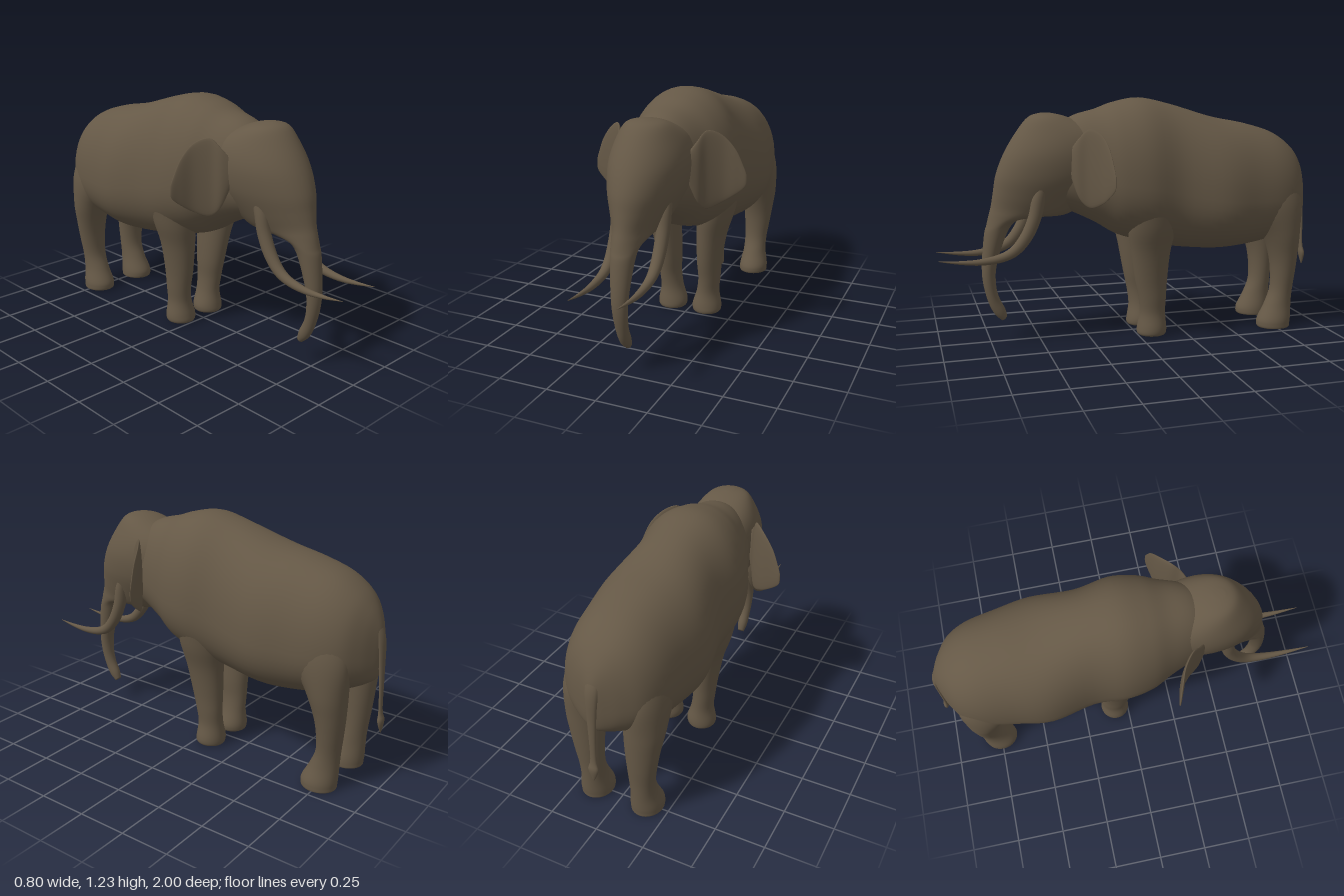
import * as THREE from 'three';

const hide = new THREE.MeshStandardMaterial({ color: 0x655846 });
hide.name = 'brown hide';

// Smooth interpolation of rows of numbers
function refine(rows, steps = 5) {
  const out = [];
  const n = rows.length;
  for (let i = 0; i < n - 1; i++) {
    const [a, b, c, d] = [rows[Math.max(i - 1, 0)], rows[i], rows[i + 1], rows[Math.min(i + 2, n - 1)]];
    for (let k = 0; k < steps; k++) {
      const t = k / steps;
      out.push(b.map((v, j) => v + 0.5 * t * (c[j] - a[j] +
        t * (2 * a[j] - 5 * v + 4 * c[j] - d[j] + t * (3 * (v - c[j]) + d[j] - a[j])))));
    }
  }
  out.push(rows[n - 1]);
  return out;
}

// Closed skin through cross-sections; place(row, cos, sin) gives one point of a ring
function loft(name, rows, place, seg = 32) {
  const rings = refine(rows);
  const pos = [];
  const idx = [];
  for (const row of rings) {
    for (let i = 0; i < seg; i++) {
      const a = (i / seg) * Math.PI * 2;
      pos.push(...place(row, Math.cos(a), Math.sin(a)));
    }
  }
  const last = rings.length - 1;
  for (let r = 0; r < last; r++) {
    for (let i = 0; i < seg; i++) {
      const j = (i + 1) % seg;
      const a = r * seg + i, b = r * seg + j, c = a + seg, d = b + seg;
      idx.push(a, b, c, b, d, c);
    }
  }
  // end caps
  for (const r of [0, last]) {
    const p = place(rings[r], 1, 0), q = place(rings[r], -1, 0);
    const centre = pos.length / 3;
    pos.push(...p.map((v, k) => (v + q[k]) / 2));
    for (let i = 0; i < seg; i++) {
      const a = r * seg + i, b = r * seg + (i + 1) % seg;
      if (r === 0) idx.push(centre, b, a); else idx.push(centre, a, b);
    }
  }
  // turn the faces outward where the volume comes out negative
  let volume = 0;
  const P = (i) => new THREE.Vector3(pos[i * 3], pos[i * 3 + 1], pos[i * 3 + 2]);
  for (let i = 0; i < idx.length; i += 3) volume += P(idx[i]).dot(P(idx[i + 1]).cross(P(idx[i + 2])));
  if (volume < 0) idx.reverse();
  const g = new THREE.BufferGeometry();
  g.setAttribute('position', new THREE.Float32BufferAttribute(pos, 3));
  g.setIndex(idx);
  g.computeVertexNormals();
  const mesh = new THREE.Mesh(g, hide);
  mesh.name = name;
  return mesh;
}

// Section between two points in the side plane: zA, yA, zB, yB, half width, x centre.
// f is where the widest point lies between A and B; a power below 1 makes it boxier.
const slice = (f = 0.5, side = 1, power = 1) => ([zA, yA, zB, yB, hw, x = 0], c, s) => {
  const z = zA + (zB - zA) * f, y = yA + (yB - yA) * f;
  const k = Math.abs(c) ** power;
  const w = Math.sign(s) * Math.abs(s) ** power;
  return [side * x + hw * w, y + ((c > 0 ? yA : yB) - y) * k, z + ((c > 0 ? zA : zB) - z) * k];
};

// Sections across a path of z, y, radius
const along = (path, x, flat = 1) => path.map(([z, y, r], i) => {
  const a = path[Math.max(i - 1, 0)], b = path[Math.min(i + 1, path.length - 1)];
  const l = Math.hypot(b[0] - a[0], b[1] - a[1]);
  const nz = -(b[1] - a[1]) / l * r, ny = (b[0] - a[0]) / l * r;
  return [z + nz, y + ny, z - nz, y - ny, r * flat, x];
});

export function createModel() {
  const model = new THREE.Group();
  model.name = 'elephant';

  // Body: z, top, bottom, half width
  const body = [
    [-0.96, 0.78, 0.63, 0.02], [-0.945, 0.84, 0.57, 0.06], [-0.91, 0.91, 0.54, 0.13],
    [-0.85, 0.98, 0.51, 0.205], [-0.75, 1.045, 0.47, 0.253], [-0.6, 1.09, 0.44, 0.28],
    [-0.42, 1.125, 0.43, 0.305], [-0.2, 1.19, 0.45, 0.268], [-0.03, 1.225, 0.49, 0.287],
    [0.1, 1.205, 0.53, 0.268], [0.2, 1.17, 0.59, 0.225], [0.32, 1.135, 0.65, 0.18],
    [0.45, 1.05, 0.7, 0.13],
  ].map(([z, t, b, w]) => [z, t, z, b, w, 0]);
  model.add(loft('body', body, slice(0.6, 1, 0.92), 48));

  // Head running into the trunk: front point, back point, half width
  model.add(loft('headAndTrunk', [
    [0.48, 1.152, 0.43, 1.152, 0.02], [0.54, 1.13, 0.34, 1.13, 0.1], [0.605, 1.05, 0.16, 1.05, 0.16],
    [0.665, 0.95, 0.1, 0.95, 0.186], [0.705, 0.85, 0.1, 0.82, 0.174], [0.72, 0.77, 0.27, 0.69, 0.13],
    [0.732, 0.7, 0.36, 0.64, 0.1], [0.745, 0.65, 0.48, 0.636, 0.083], [0.757, 0.6, 0.595, 0.625, 0.068],
    [0.77, 0.55, 0.655, 0.56, 0.057], [0.785, 0.4, 0.71, 0.4, 0.043], [0.78, 0.3, 0.717, 0.3, 0.036],
    [0.755, 0.2, 0.703, 0.23, 0.03], [0.725, 0.14, 0.675, 0.17, 0.027], [0.69, 0.108, 0.665, 0.13, 0.018],
  ], slice(), 40));

  // Legs: y, front, back, half width, x centre
  const frontLeg = [
    [0.95, -0.02, -0.14, 0.03, 0.15], [0.8, 0.07, -0.21, 0.088, 0.183], [0.6, 0.07, -0.19, 0.096, 0.155],
    [0.45, 0.045, -0.162, 0.077, 0.13], [0.3, 0.02, -0.15, 0.065, 0.116], [0.2, 0.0, -0.145, 0.058, 0.113],
    [0.12, -0.008, -0.143, 0.06, 0.105], [0.05, 0.002, -0.15, 0.077, 0.1], [0.02, 0.005, -0.15, 0.078, 0.1],
    [0.006, 0, -0.146, 0.072, 0.1], [0.004, -0.01, -0.138, 0.064, 0.1],
  ];
  const backLeg = [
    [0.94, -0.66, -0.78, 0.03, 0.12], [0.83, -0.61, -0.83, 0.07, 0.145], [0.68, -0.58, -0.878, 0.1, 0.158],
    [0.52, -0.67, -0.875, 0.1, 0.155], [0.4, -0.715, -0.868, 0.087, 0.148], [0.3, -0.732, -0.86, 0.075, 0.143],
    [0.2, -0.73, -0.85, 0.065, 0.138], [0.12, -0.7, -0.846, 0.066, 0.138], [0.05, -0.664, -0.843, 0.079, 0.14],
    [0.02, -0.658, -0.84, 0.081, 0.14], [0.002, -0.662, -0.838, 0.079, 0.14], [0, -0.675, -0.83, 0.07, 0.14],
  ];
  const legRows = (rows) => rows.map(([y, f, b, w, x]) => [f, y, b, y, w, x]);

  // Tusk and tail paths: z, y, radius
  const tusk = [
    [0.49, 0.82, 0.03], [0.513, 0.74, 0.034], [0.533, 0.65, 0.033], [0.573, 0.56, 0.031], [0.63, 0.49, 0.027],
    [0.7, 0.455, 0.022], [0.8, 0.44, 0.016], [0.9, 0.443, 0.009], [1.0, 0.455, 0.001],
  ];
  const tail = [
    [-0.9, 0.87, 0.02], [-0.95, 0.77, 0.018], [-0.967, 0.6, 0.011], [-0.975, 0.42, 0.008],
    [-0.981, 0.36, 0.014], [-0.984, 0.3, 0.002],
  ];
  model.add(loft('tail', along(tail, 0, 1.9), slice(), 16));

  // Ear: x, z, top, bottom, half thickness
  const ear = [
    [0.165, 0.36, 0.98, 0.85, 0.012], [0.2, 0.328, 1.035, 0.745, 0.016], [0.23, 0.282, 1.08, 0.7, 0.015],
    [0.29, 0.235, 1.055, 0.724, 0.012], [0.35, 0.212, 0.985, 0.763, 0.009], [0.388, 0.2, 0.9, 0.795, 0.006],
    [0.4, 0.197, 0.865, 0.815, 0.002],
  ];
  const earPoint = (side) => ([x, z, t, b, th], c, s) =>
    [side * (x + 0.6 * th * s), (t + b) / 2 + (t - b) / 2 * c, z + 0.8 * th * s];

  // Mirrored parts
  for (const [label, side] of [['left', 1], ['right', -1]]) {
    model.add(
      loft(label + 'FrontLeg', legRows(frontLeg), slice(0.5, side)),
      loft(label + 'BackLeg', legRows(backLeg), slice(0.5, side)),
      loft(label + 'Tusk', along(tusk, 0.117), slice(0.5, side), 16),
      loft(label + 'Ear', ear, earPoint(side)),
    );
  }
  return model;
}
